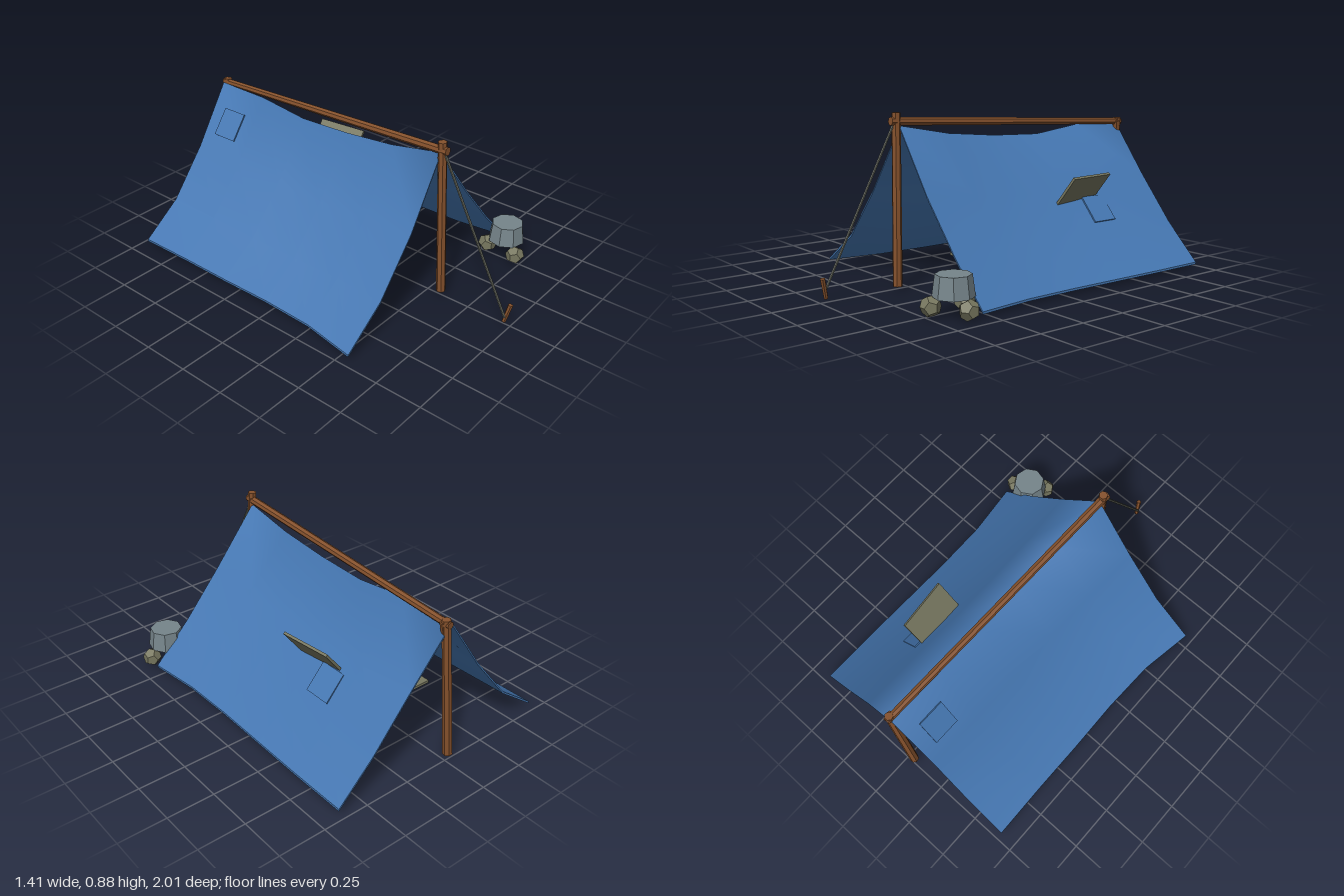
import * as THREE from 'three';

const mat = (color, flatShading = true) =>
  new THREE.MeshStandardMaterial({ color, flatShading, roughness: 0.9 });
const wood = mat(0x85512c), canvas = mat(0x4577b2, false), board = mat(0x76765f);
const stone = mat(0x77775f), metal = mat(0x75848a), cord = mat(0x5f6258);
canvas.side = THREE.DoubleSide;

// Straight round bar between two points
function bar(name, a, b, r0, r1, sides, material) {
  const from = new THREE.Vector3(...a), to = new THREE.Vector3(...b);
  const dir = to.clone().sub(from);
  const mesh = new THREE.Mesh(new THREE.CylinderGeometry(r1, r0, dir.length(), sides), material);
  mesh.position.copy(from).add(to).multiplyScalar(0.5);
  mesh.quaternion.setFromUnitVectors(new THREE.Vector3(0, 1, 0), dir.normalize());
  mesh.name = name;
  return mesh;
}

function box(name, size, pos, rot, material) {
  const mesh = new THREE.Mesh(new THREE.BoxGeometry(...size), material);
  mesh.position.set(...pos);
  mesh.rotation.set(...rot, 'YXZ');
  mesh.name = name;
  return mesh;
}

// Rows of points joined into a surface
function sheet(rows) {
  const w = rows[0].length, index = [];
  for (let j = 0; j < rows.length - 1; j++)
    for (let i = 0; i < w - 1; i++) {
      const a = j * w + i, b = a + 1, c = a + w, d = c + 1;
      index.push(a, b, c, b, d, c);
    }
  const g = new THREE.BufferGeometry();
  g.setAttribute('position', new THREE.Float32BufferAttribute(rows.flat(2), 3));
  g.setIndex(index);
  g.computeVertexNormals();
  return g;
}

// Sagging cloth: each row is a cross-section from the right hem over the ridge to the left hem
function makeTarp() {
  const group = new THREE.Group();
  group.name = 'tarp';
  // z, ridge height, sag, right hem x, left hem x
  const sections = [
    [-0.965, 0.77, 0.02, -0.66, 0.64],
    [-0.65, 0.765, 0.03, -0.655, 0.64],
    [-0.35, 0.728, 0.05, -0.655, 0.635],
    [-0.05, 0.738, 0.05, -0.65, 0.63],
    [0.25, 0.765, 0.03, -0.66, 0.635],
    [0.55, 0.82, 0, -0.71, 0.67],
  ];
  const top = sections.map(([z, ridge, sag, xr, xl]) => [
    [xr, 0.033, z],
    [xr * 0.66, 0.205 - sag * 0.5, z],
    [xr * 0.335, 0.475 - sag, z],
    [0, ridge, z - 0.01],
    [xl * 0.365, 0.5 - sag, z],
    [xl * 0.69, 0.245 - sag * 0.7, z],
    [xl, 0.033, z],
  ]);
  const under = top.map(r => r.map(([x, y, z]) => [x, y - 0.012, z]));
  const add = (name, rows) => {
    const m = new THREE.Mesh(sheet(rows), canvas);
    m.name = name;
    group.add(m);
  };
  // Reversed row order turns the surface to face outward
  add('tarpOuter', [...top].reverse().map(r => [...r].reverse()));
  add('tarpInner', under.map(r => [...r].reverse()));
  // Thin rim along the four edges
  const last = top.length - 1, column = (rows, i) => rows.map(r => r[i]);
  add('backRim', [under[0], top[0]]);
  add('frontRim', [top[last], under[last]]);
  add('rightRim', [column(top, 0), column(under, 0)]);
  add('leftRim', [column(under, 6), column(top, 6)]);
  return group;
}

export function createModel() {
  const model = new THREE.Group();
  model.name = 'tarpShelter';
  model.add(makeTarp());

  // Timber frame
  model.add(
    bar('frontPole', [0.013, 0.02, 0.572], [-0.01, 0.885, 0.552], 0.025, 0.023, 7, wood),
    bar('backPole', [-0.035, 0.02, -0.983], [0.028, 0.79, -0.965], 0.025, 0.022, 7, wood),
    bar('backPoleFork', [0.02, 0.7, -0.962], [0.03, 0.775, -0.957], 0.02, 0.024, 7, wood),
    bar('ridgePole', [-0.01, 0.843, 0.585], [0.025, 0.768, -0.99], 0.022, 0.019, 7, wood),
  );

  // Guy line and its stake
  model.add(
    bar('guyLine', [-0.01, 0.05, 0.97], [-0.01, 0.825, 0.57], 0.007, 0.007, 6, cord),
    bar('stake', [-0.005, 0.02, 0.965], [0.008, 0.122, 0.988], 0.011, 0.013, 6, wood),
  );

  // Ground mat, board through the left slope, cloth patches
  model.add(
    box('groundMat', [0.68, 0.015, 0.45], [-0.05, 0.027, -0.275], [0, 0, 0], board),
    box('board', [0.258, 0.014, 0.29], [0.307, 0.43, -0.4], [0, 0.1, 0.9], board),
    box('leftPatch', [0.16, 0.008, 0.15], [0.34, 0.342, -0.505], [0, 0, -0.85], canvas),
    box('rightPatch', [0.16, 0.008, 0.15], [-0.125, 0.598, -0.81], [0, 0, 0.93], canvas),
  );

  // Pot resting on three stones
  const hearth = new THREE.Group();
  hearth.name = 'hearth';
  const pot = new THREE.Mesh(new THREE.CylinderGeometry(0.086, 0.1, 0.105, 8), metal);
  pot.position.set(0.555, 0.146, 0.627);
  pot.rotation.y = 0.15;
  pot.name = 'pot';
  hearth.add(pot);
  [[0.502, 0.717], [0.66, 0.62], [0.515, 0.535]].forEach(([x, z], i) => {
    const s = new THREE.Mesh(new THREE.DodecahedronGeometry(0.051), stone);
    s.position.set(x, 0.051, z);
    s.rotation.set(0, i * 0.5, Math.PI / 2);
    s.name = 'hearthStone';
    hearth.add(s);
  });
  model.add(hearth);
  return model;
}
